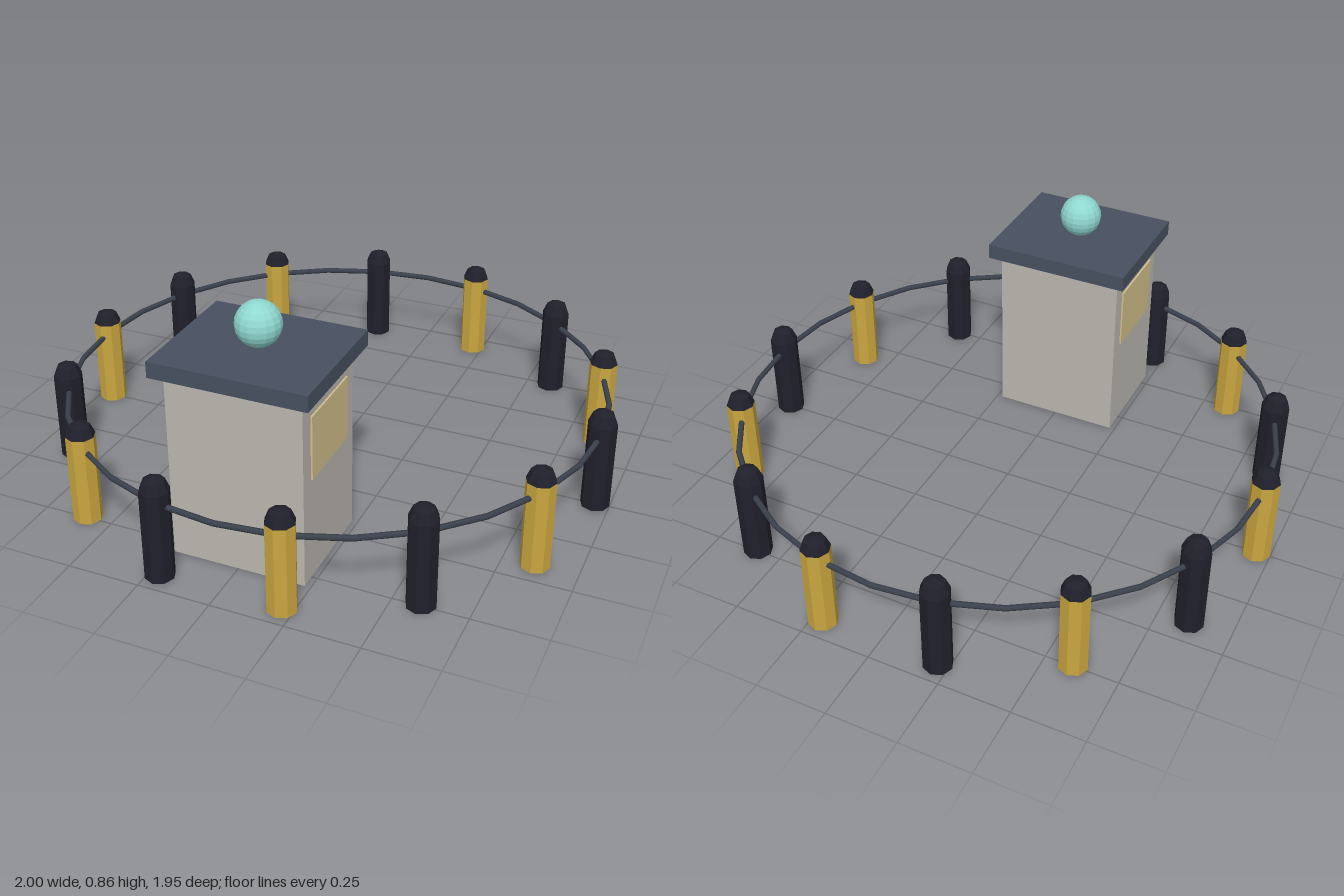
import * as THREE from 'three';

const material = (name, color, flatShading = true) => {
  const m = new THREE.MeshStandardMaterial({ color, flatShading });
  m.name = name;
  return m;
};

export function createModel() {
  const yellow = material('post yellow', 0xc9a640);
  const dark = material('post black', 0x20202b);
  const railGrey = material('rail grey', 0x3a424d, false);
  const wall = material('wall grey', 0xbab7b0);
  const slate = material('roof slate', 0x475060);
  const glass = material('window cream', 0xd2bf8a);
  const aqua = material('lamp aqua', 0x8fd8d0);

  const model = new THREE.Group();
  model.name = 'ringFenceWithBooth';
  const add = (parent, name, geometry, mat, x, y, z) => {
    const mesh = new THREE.Mesh(geometry, mat);
    mesh.name = name;
    mesh.position.set(x, y, z);
    parent.add(mesh);
    return mesh;
  };

  // Ring of posts in alternating colours, each with a domed dark cap
  const radius = 0.95, count = 14, postR = 0.05, postH = 0.32;
  const postGeometry = new THREE.CylinderGeometry(postR, postR, postH, 8);
  const capGeometry = new THREE.SphereGeometry(postR, 8, 2, 0, Math.PI * 2, 0, Math.PI / 2);
  for (let i = 0; i < count; i++) {
    const a = (i / count) * Math.PI * 2;
    const post = new THREE.Group();
    post.name = 'post' + (i + 1);
    post.position.set(Math.cos(a) * radius, 0, Math.sin(a) * radius);
    add(post, 'postBody', postGeometry, i % 2 ? yellow : dark, 0, postH / 2, 0);
    add(post, 'postCap', capGeometry, dark, 0, postH, 0);
    model.add(post);
  }

  // Rail threaded through the posts
  const rail = new THREE.TorusGeometry(radius, 0.01, 6, count * 2);
  add(model, 'rail', rail.rotateX(Math.PI / 2), railGrey, 0, 0.27, 0);

  // Booth with a flat roof, side windows and a round lamp
  const booth = new THREE.Group();
  booth.name = 'booth';
  booth.position.z = 0.61;
  add(booth, 'boothWalls', new THREE.BoxGeometry(0.46, 0.65, 0.38), wall, 0, 0.325, 0);
  add(booth, 'boothRoof', new THREE.BoxGeometry(0.53, 0.055, 0.455), slate, 0, 0.6775, 0);
  add(booth, 'lamp', new THREE.SphereGeometry(0.075, 16, 12), aqua, 0, 0.78, 0);
  for (const side of [-1, 1]) {
    add(booth, side > 0 ? 'leftWindow' : 'rightWindow',
      new THREE.BoxGeometry(0.008, 0.22, 0.27), glass, side * 0.232, 0.47, 0);
  }
  model.add(booth);
  return model;
}
